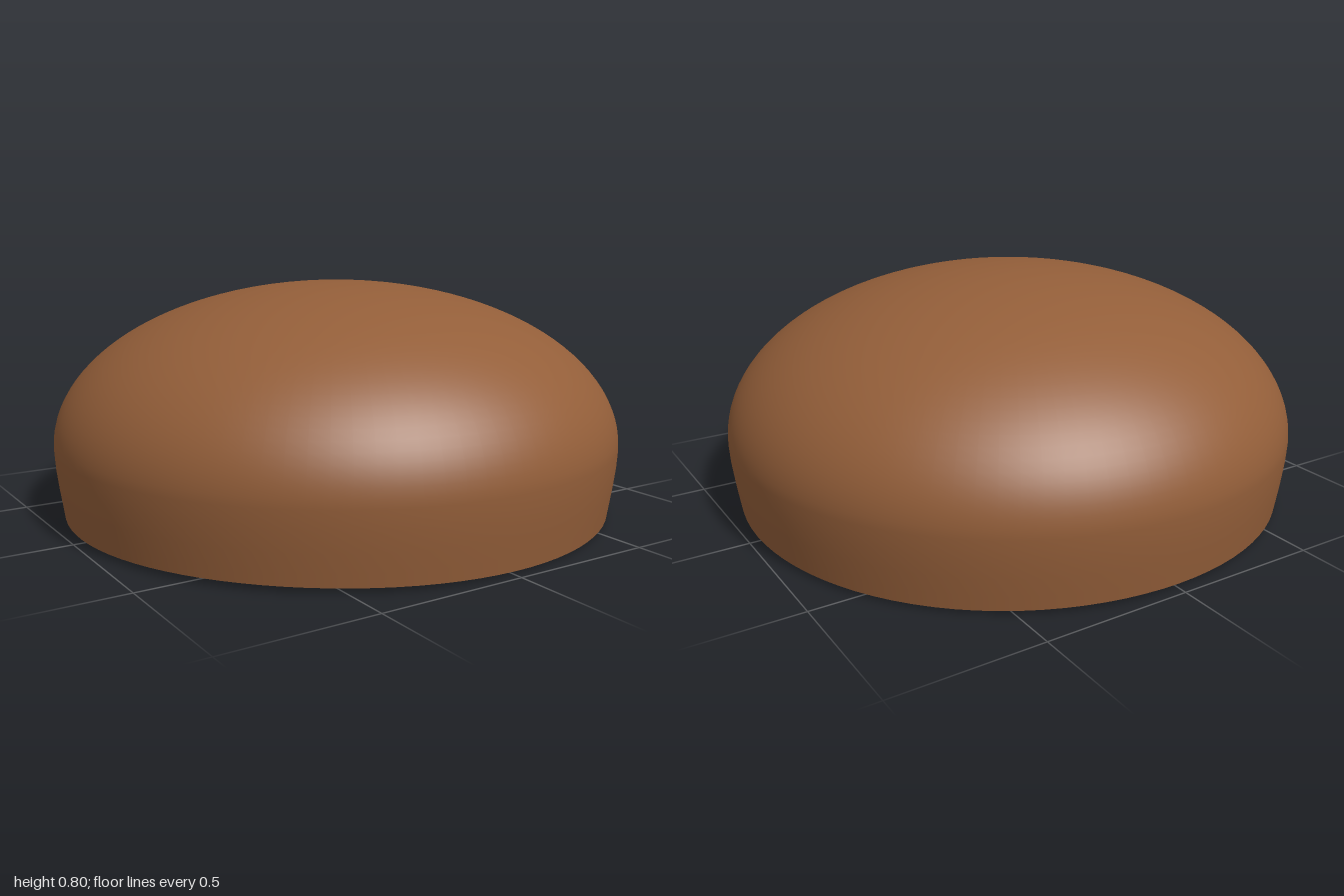
import * as THREE from 'three';

const mat = (name, color, side = THREE.FrontSide) => {
  const m = new THREE.MeshStandardMaterial({ color, side });
  m.name = name;
  return m;
};

export function createModel() {
  const shellBrown = mat('shell brown', 0x935e39, THREE.DoubleSide);
  const chocolate = mat('chocolate', 0x8a5430);
  const darkChocolate = mat('dark chocolate', 0x6b3f22);
  const white = mat('porcelain white', 0xdedcd8);
  const grey = mat('pale grey', 0xb9bbbd);

  const model = new THREE.Group();
  model.name = 'coveredFountain';
  const v2 = (pts) => pts.map(([x, y]) => new THREE.Vector2(x, y));
  const add = (parent, name, geometry, material, x = 0, y = 0, z = 0) => {
    const mesh = new THREE.Mesh(geometry, material);
    mesh.name = name;
    mesh.position.set(x, y, z);
    parent.add(mesh);
    return mesh;
  };

  // Large open dome: tapering skirt below, half ellipse above
  const profile = v2([[0.972, 0.014], [0.979, 0.06], [0.988, 0.12], [0.996, 0.185]]);
  for (let i = 0; i <= 28; i++) {
    const t = (i / 28) * Math.PI / 2;
    profile.push(new THREE.Vector2(Math.max(0, Math.cos(t)), 0.25 + 0.552 * Math.sin(t)));
  }
  const domeGeometry = new THREE.LatheGeometry(profile, 96);
  // Slightly wavy lower edge
  const p = domeGeometry.attributes.position;
  for (let i = 0; i < p.count; i++) {
    if (p.getY(i) > 0.03) continue;
    p.setY(i, 0.014 + 0.004 * Math.sin(3 * Math.atan2(p.getZ(i), p.getX(i)) + 0.6));
  }
  add(model, 'dome', domeGeometry, shellBrown);

  // Fountain standing inside the dome
  const fountain = new THREE.Group();
  fountain.name = 'fountain';
  fountain.position.set(-0.022, 0, 0.012);
  model.add(fountain);

  // Foot plate with a raised lip
  add(fountain, 'plate', new THREE.LatheGeometry(v2([
    [0, 0], [0.215, 0], [0.215, 0], [0.226, 0.008], [0.226, 0.02], [0.218, 0.024],
    [0.205, 0.018], [0.205, 0.018], [0, 0.018]]), 48), grey);

  // Waisted bowl
  const bowlCurve = new THREE.SplineCurve(v2([
    [0.155, 0.018], [0.136, 0.07], [0.128, 0.14], [0.135, 0.2], [0.158, 0.26],
    [0.172, 0.31], [0.172, 0.34]]));
  const bowlProfile = [...bowlCurve.getPoints(24),
    ...v2([[0.164, 0.346], [0.156, 0.34], [0.15, 0.32], [0, 0.32]])];
  add(fountain, 'bowl', new THREE.LatheGeometry(bowlProfile, 48), white);

  // Chocolate pool, stepped tiers and centre column
  add(fountain, 'pool', new THREE.CylinderGeometry(0.155, 0.15, 0.02, 40), chocolate, 0, 0.332, 0);
  const tier = (name, r, y, h) => add(fountain, name, new THREE.LatheGeometry(v2([
    [0, 0], [r * 0.85, 0], [r, h * 0.25], [r, h * 0.55], [r * 0.85, h * 0.9], [0, h]]), 36),
  chocolate, 0, y, 0);
  tier('lowerTier', 0.11, 0.34, 0.09);
  tier('middleTier', 0.078, 0.42, 0.08);
  add(fountain, 'column', new THREE.CylinderGeometry(0.037, 0.037, 0.12, 28), chocolate, 0, 0.53, 0);
  add(fountain, 'crown', new THREE.SphereGeometry(0.037, 24, 10, 0, Math.PI * 2, 0, Math.PI / 2),
    chocolate, 0, 0.59, 0);

  // Angle 0 faces the back right corner
  const place = (a, r, y) => new THREE.Vector3(
    -Math.SQRT1_2 * r * (Math.cos(a) + Math.sin(a)), y,
    Math.SQRT1_2 * r * (Math.sin(a) - Math.cos(a)));
  const bowlRadius = (y) => {
    const pts = bowlCurve.getPoints(40);
    return (pts.find((q) => q.y >= y) || pts[40]).x;
  };

  // Drips running down the bowl
  const drips = [[-0.72, 0.2], [-0.31, 0.23], [-1.5, 0.24], [2.1, 0.22], [2.8, 0.25], [3.6, 0.19], [4.2, 0.24]];
  for (const [a, end] of drips) {
    const path = [place(a, 0.155, 0.346)];
    for (let i = 0; i <= 5; i++) {
      const y = 0.34 + (end - 0.34) * i / 5;
      path.push(place(a, bowlRadius(y) + 0.003, y));
    }
    add(fountain, 'drip', new THREE.TubeGeometry(new THREE.CatmullRomCurve3(path), 16, 0.009, 8), darkChocolate);
    const tip = place(a, bowlRadius(end) + 0.004, end);
    add(fountain, 'dripTip', new THREE.SphereGeometry(0.012, 12, 8), darkChocolate, tip.x, tip.y, tip.z);
  }

  // Stacks of little sweets leaning by the bowl
  for (const [a, count] of [[-0.34, 4], [-0.8, 4], [-1.15, 2], [2.4, 4], [3.3, 3]]) {
    for (let i = 0; i < count; i++) {
      const s = place(a, 0.172 - 0.004 * i, 0.036 + 0.033 * i);
      add(fountain, 'sweet', new THREE.SphereGeometry(0.018, 14, 10), white, s.x, s.y, s.z);
    }
  }

  // Chocolate pieces scattered around the plate
  for (const a of [-0.6, 0.23, 1.03, 1.8, 2.8, 3.8, 4.6]) {
    const s = place(a, 0.193, 0.032);
    add(fountain, 'chocolatePiece', new THREE.DodecahedronGeometry(0.019), darkChocolate, s.x, s.y, s.z)
      .rotation.set(a, a * 2, 0);
  }
  return model;
}
